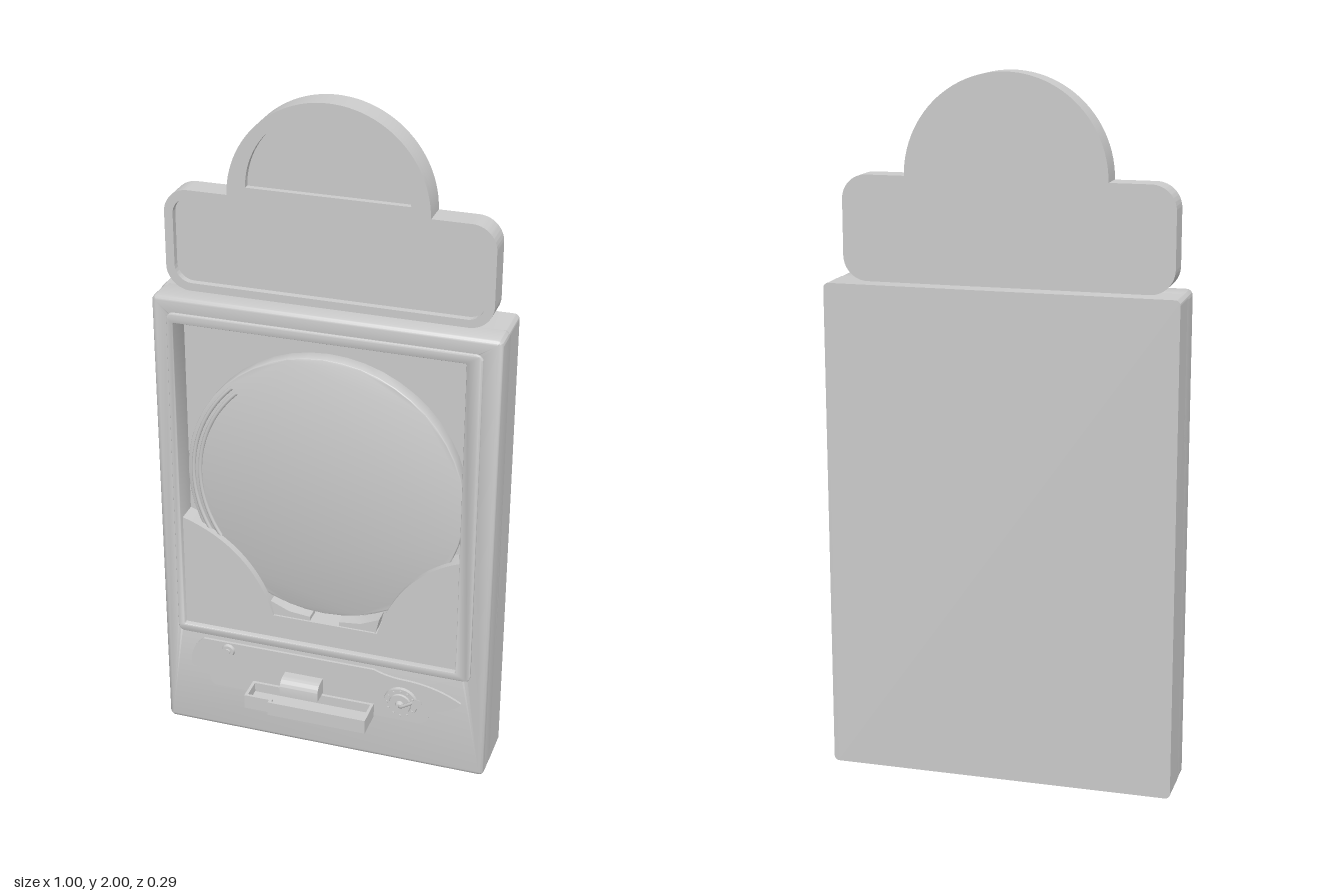
import * as THREE from 'three';
import { toCreasedNormals } from 'three/addons/utils/BufferGeometryUtils.js';

const material = new THREE.MeshStandardMaterial({ color: 0xcccccc });

function add(parent, name, geometry, x = 0, y = 0, z = 0) {
  const mesh = new THREE.Mesh(geometry, material);
  mesh.name = name;
  mesh.position.set(x, y, z);
  parent.add(mesh);
  return mesh;
}

// Rounded rectangle from its edges
function roundRect(x0, x1, y0, y1, r, Type = THREE.Shape) {
  const s = new Type();
  s.moveTo(x0 + r, y0);
  s.lineTo(x1 - r, y0);
  s.absarc(x1 - r, y0 + r, r, -Math.PI / 2, 0);
  s.lineTo(x1, y1 - r);
  s.absarc(x1 - r, y1 - r, r, 0, Math.PI / 2);
  s.lineTo(x0 + r, y1);
  s.absarc(x0 + r, y1 - r, r, Math.PI / 2, Math.PI);
  s.lineTo(x0, y0 + r);
  s.absarc(x0 + r, y0 + r, r, Math.PI, Math.PI * 1.5);
  return s;
}

// Half disc standing on a flat base
function halfDisc(x, y, r, Type = THREE.Shape) {
  const s = new Type();
  s.moveTo(x - r, y);
  s.lineTo(x + r, y);
  s.absarc(x, y, r, 0, Math.PI);
  return s;
}

// Plate from z0 to z1, with optional rounded edges
function plate(shape, z0, z1, bevel = 0) {
  const g = new THREE.ExtrudeGeometry(shape, {
    depth: z1 - z0 - 2 * bevel, curveSegments: 24, bevelEnabled: bevel > 0,
    bevelSize: bevel, bevelThickness: bevel, bevelOffset: -bevel, bevelSegments: 4,
  });
  g.translate(0, 0, z0 + bevel);
  return toCreasedNormals(g, 0.6);
}

function withHole(shape, hole) {
  shape.holes.push(hole);
  return shape;
}

// Disc whose axis points to the front
function dial(parent, name, r0, r1, depth, x, y, z) {
  const g = new THREE.CylinderGeometry(r1, r0, depth, 32).rotateX(Math.PI / 2);
  return add(parent, name, g, x, y, z + depth / 2);
}

function buildCabinet() {
  const cabinet = new THREE.Group();
  cabinet.name = 'cabinet';
  add(cabinet, 'cabinetBack', plate(roundRect(-0.5, 0.5, 0, 1.42, 0.015), -0.145, -0.03));
  const front = withHole(roundRect(-0.5, 0.5, 0, 1.42, 0.018),
    roundRect(-0.445, 0.425, 0.342, 1.36, 0.01, THREE.Path));
  add(cabinet, 'cabinetFront', plate(front, -0.06, 0.045, 0.014));
  const frame = withHole(roundRect(-0.455, 0.45, 0.33, 1.375, 0.02),
    roundRect(-0.435, 0.405, 0.355, 1.345, 0.004, THREE.Path));
  add(cabinet, 'windowFrame', plate(frame, -0.04, 0.052, 0.004));
  return cabinet;
}

function buildPlayfield() {
  const field = new THREE.Group();
  field.name = 'playfield';

  // Round board, trimmed by the window on the right
  const disc = new THREE.Shape();
  disc.absarc(-0.008, 0.865, 0.413, 0, Math.PI * 2);
  add(field, 'roundBoard', plate(disc, -0.04, 0.012, 0.004));

  // Curved ball rails on the left
  for (const [r, end] of [[0.375, 0.82], [0.395, 0.78]]) {
    const arc = new THREE.EllipseCurve(-0.008, 0.865, r, r, Math.PI * 0.74, Math.PI * (1 + (1 - end)));
    const pts = arc.getPoints(24).map(p => new THREE.Vector3(p.x, p.y, 0.014));
    add(field, 'ballRail', new THREE.TubeGeometry(new THREE.CatmullRomCurve3(pts), 32, 0.006, 8));
  }

  // Lower panel sweeping up on both sides
  const lower = new THREE.Shape();
  lower.moveTo(-0.435, 0.355);
  lower.lineTo(0.405, 0.355);
  lower.lineTo(0.405, 0.715);
  lower.quadraticCurveTo(0.225, 0.65, 0.162, 0.43);
  lower.lineTo(-0.157, 0.43);
  lower.quadraticCurveTo(-0.225, 0.65, -0.435, 0.715);
  add(field, 'lowerPanel', plate(lower, -0.04, 0.034));

  // Ramps beside the centre drain
  for (const side of [-1, 1]) {
    const ramp = new THREE.Shape([[0.045, 0.425], [0.156, 0.425], [0.167, 0.475], [0.11, 0.45], [0.045, 0.443]]
      .map(([x, y]) => new THREE.Vector2(side * x, y)));
    add(field, 'drainRamp', plate(ramp, -0.02, 0.028));
  }
  return field;
}

function buildSigns() {
  const signs = new THREE.Group();
  signs.name = 'topSigns';
  add(signs, 'signBack', plate(roundRect(-0.475, 0.46, 1.42, 1.715, 0.07), -0.09, -0.035));
  add(signs, 'signRim', plate(withHole(roundRect(-0.475, 0.46, 1.42, 1.715, 0.07),
    roundRect(-0.45, 0.435, 1.443, 1.692, 0.05, THREE.Path)), -0.035, -0.015));
  add(signs, 'domeBack', plate(halfDisc(-0.005, 1.715, 0.285), -0.09, -0.03));
  add(signs, 'domeRim', plate(withHole(halfDisc(-0.005, 1.715, 0.285),
    halfDisc(-0.005, 1.743, 0.231, THREE.Path)), -0.03, -0.012));
  return signs;
}

function buildControls() {
  const controls = new THREE.Group();
  controls.name = 'controls';

  // Swept backing plate
  const s = new THREE.Shape();
  s.moveTo(-0.34, 0.155);
  s.lineTo(0.3, 0.155);
  s.quadraticCurveTo(0.325, 0.16, 0.33, 0.18);
  s.quadraticCurveTo(0.335, 0.205, 0.375, 0.215);
  s.quadraticCurveTo(0.42, 0.235, 0.425, 0.25);
  s.quadraticCurveTo(0.35, 0.295, 0.25, 0.297);
  s.quadraticCurveTo(0.2, 0.298, 0.16, 0.315);
  s.lineTo(-0.375, 0.315);
  s.quadraticCurveTo(-0.42, 0.28, -0.415, 0.215);
  s.quadraticCurveTo(-0.36, 0.21, -0.355, 0.175);
  s.quadraticCurveTo(-0.355, 0.16, -0.34, 0.155);
  add(controls, 'controlPlate', plate(s, 0.04, 0.053));

  // Open tray, shallower at its left end; drawn flat, then laid level
  const outline = (o, Type) => new Type([
    [-0.218 + o, 0.053 + o], [0.162 - o, 0.053 + o], [0.162 - o, 0.145 - o],
    [-0.14 + o, 0.145 - o], [-0.14 + o, 0.132 - o], [-0.218 + o, 0.132 - o],
  ].map(([x, z]) => new THREE.Vector2(x, z)));
  const level = g => g.rotateX(Math.PI / 2);
  add(controls, 'trayFloor', level(plate(outline(0, THREE.Shape), -0.165, -0.15)));
  add(controls, 'trayWall',
    level(plate(withHole(outline(0, THREE.Shape), outline(0.009, THREE.Path)), -0.195, -0.165)));

  // Rounded chute above the tray
  const chute = new THREE.Shape();
  chute.moveTo(0.045, 0.2);
  chute.lineTo(0.105, 0.2);
  chute.lineTo(0.105, 0.225);
  chute.quadraticCurveTo(0.103, 0.248, 0.075, 0.25);
  chute.lineTo(0.045, 0.25);
  add(controls, 'ballChute', plate(chute, 0, 0.118).rotateY(-Math.PI / 2), 0.003, 0, 0);

  // Keyhole
  dial(controls, 'lockRing', 0.021, 0.018, 0.01, -0.295, 0.29, 0.052);
  dial(controls, 'lockCore', 0.009, 0.008, 0.006, -0.295, 0.29, 0.06);

  // Stepped dial with studs and a bent lever
  dial(controls, 'dialBase', 0.052, 0.05, 0.01, 0.245, 0.22, 0.052);
  dial(controls, 'dialStep', 0.034, 0.032, 0.007, 0.245, 0.22, 0.061);
  dial(controls, 'dialHub', 0.014, 0.01, 0.015, 0.245, 0.22, 0.066);
  for (let i = 0; i < 12; i++) {
    const a = i * Math.PI / 6;
    dial(controls, 'dialStud', 0.004, 0.004, 0.005, 0.245 + 0.042 * Math.cos(a), 0.22 + 0.042 * Math.sin(a), 0.061);
  }
  const lever = new THREE.CatmullRomCurve3([
    [0.245, 0.22, 0.07], [0.252, 0.226, 0.085], [0.275, 0.242, 0.09],
    [0.3, 0.259, 0.094], [0.31, 0.265, 0.108],
  ].map(p => new THREE.Vector3(...p)));
  add(controls, 'lever', new THREE.TubeGeometry(lever, 24, 0.005, 8));
  dial(controls, 'leverButton', 0.013, 0.015, 0.006, 0.31, 0.265, 0.107);
  return controls;
}

export function createModel() {
  const model = new THREE.Group();
  model.name = 'ballGameCabinet';
  model.add(buildCabinet(), buildPlayfield(), buildSigns(), buildControls());
  return model;
}
